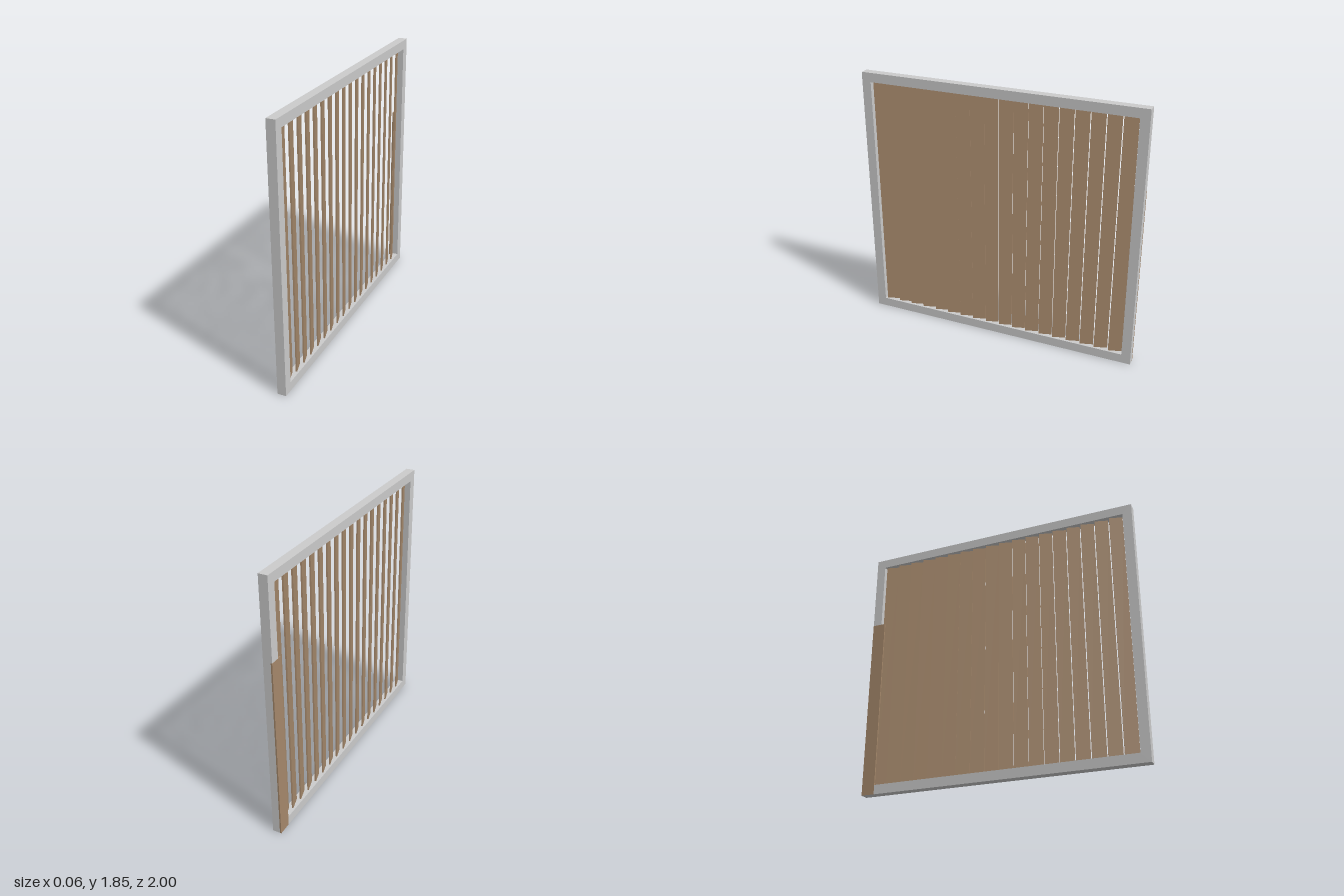
import * as THREE from 'three';

const HEIGHT = 1.845, DEPTH = 0.062, BAR = 0.065;
const SLATS = 18, FIRST = 0.879, TILT = THREE.MathUtils.degToRad(16);

function rectangle(Type, w, h) {
  return new Type([
    new THREE.Vector2(-w / 2, -h / 2), new THREE.Vector2(w / 2, -h / 2),
    new THREE.Vector2(w / 2, h / 2), new THREE.Vector2(-w / 2, h / 2),
  ]);
}

export function createModel() {
  const model = new THREE.Group();
  model.name = 'louvredPanel';
  const metal = new THREE.MeshStandardMaterial({ color: 0xcccccc });
  const wood = new THREE.MeshStandardMaterial({ color: 0xa5886b });

  // Rectangular frame, extruded through its thickness
  const outline = rectangle(THREE.Shape, 2, HEIGHT);
  outline.holes.push(rectangle(THREE.Path, 2 - 2 * BAR, HEIGHT - 2 * BAR));
  const frameGeometry = new THREE.ExtrudeGeometry(outline, { depth: DEPTH, bevelEnabled: false });
  frameGeometry.translate(0, 0, -DEPTH / 2).rotateY(Math.PI / 2);
  const frame = new THREE.Mesh(frameGeometry, metal);
  frame.name = 'frame';
  frame.position.y = HEIGHT / 2;
  model.add(frame);

  // Upright slats, all tilted the same way
  const slats = new THREE.Group();
  slats.name = 'slats';
  const slatGeometry = new THREE.BoxGeometry(0.01, HEIGHT - 2 * BAR, 0.094);
  for (let i = 0; i < SLATS; i++) {
    const slat = new THREE.Mesh(slatGeometry, wood);
    slat.name = 'slat';
    slat.position.set(0, HEIGHT / 2, FIRST - (2 * FIRST * i) / (SLATS - 1));
    slat.rotation.y = TILT;
    slats.add(slat);
  }
  model.add(slats);

  // Shorter loose slat lying flush in the rear post
  const spare = new THREE.Mesh(new THREE.BoxGeometry(0.01, 1.29, 0.094), wood);
  spare.name = 'edgeSlat';
  spare.position.set(-DEPTH / 2 + 0.0045, 1.29 / 2, -1 + 0.0465);
  model.add(spare);

  return model;
}
